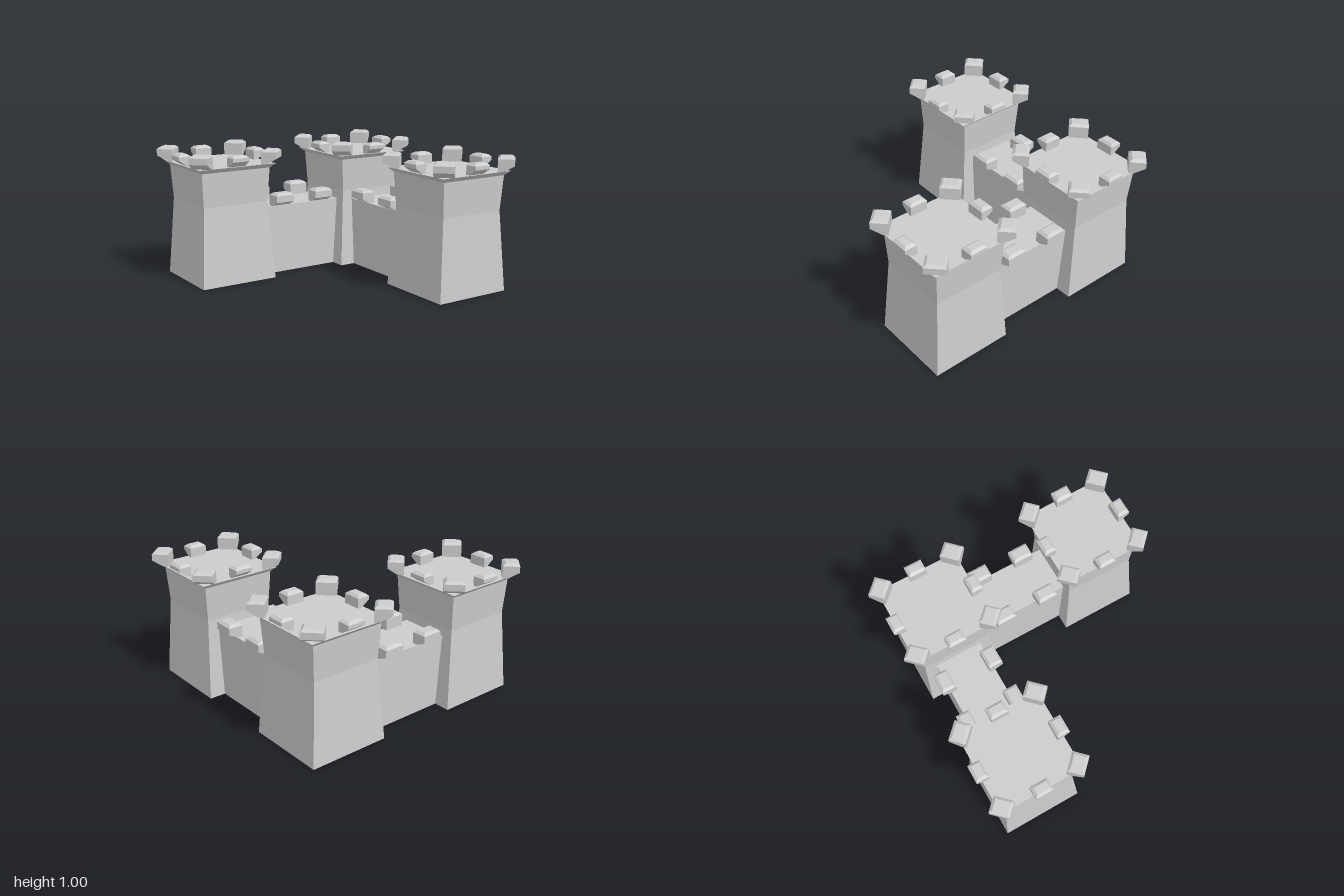
import * as THREE from 'three';

const stone = new THREE.MeshStandardMaterial({ color: 0xcccccc, flatShading: true });

// Solid stacked from rectangular rings: [y, halfWidth, zBack, zFront]
function stack(rings) {
  const n = rings.length - 1;
  const geo = new THREE.BoxGeometry(2, n, 1, 1, n, 1);
  const p = geo.attributes.position;
  for (let i = 0; i < p.count; i++) {
    const [y, hw, zb, zf] = rings[Math.round(p.getY(i) + n / 2)];
    p.setXYZ(i, p.getX(i) * hw, y, p.getZ(i) < 0 ? zb : zf);
  }
  const flat = geo.toNonIndexed();
  flat.computeVertexNormals();
  return flat;
}

// Merlon facing +z: bevelled top, underside cut away on the outer side
function merlonGeometry(w, h, d, lip) {
  const x = w / 2, z = d / 2, bevel = 0.02;
  return stack([
    [0, x, -z, z - d * 0.67],
    [lip, x, -z, z],
    [h - 0.017, x, -z, z],
    [h, x - bevel, -z + bevel, z - bevel],
  ]);
}

const towerGeo = stack([
  [0, 0.305], [0.6, 0.265], [0.857, 0.28], [0.89, 0.315],
].map(([y, r]) => [y, r, -r, r]));
const cornerGeo = merlonGeometry(0.145, 0.108, 0.12, 0.044);
const sideGeo = merlonGeometry(0.134, 0.086, 0.094, 0.042);
const wallMerlonGeo = merlonGeometry(0.155, 0.102, 0.11, 0.034);

function add(group, geo, name, x = 0, y = 0, z = 0, turn = 0) {
  const mesh = new THREE.Mesh(geo, stone);
  mesh.name = name;
  mesh.position.set(x, y, z);
  mesh.rotation.y = turn;
  group.add(mesh);
}

function makeTower(name) {
  const g = new THREE.Group();
  g.name = name;
  add(g, towerGeo, 'towerBody');
  // Eight merlons, alternating sides and corners
  for (let i = 0; i < 8; i++) {
    const a = i * Math.PI / 4, corner = i % 2 === 1;
    const r = corner ? 0.29 * Math.SQRT2 : 0.31;
    add(g, corner ? cornerGeo : sideGeo, corner ? 'cornerMerlon' : 'sideMerlon',
      Math.sin(a) * r, 0.89, Math.cos(a) * r, a);
  }
  return g;
}

// Wall running along x, with two merlons on each side
function makeWall(name) {
  const g = new THREE.Group();
  g.name = name;
  add(g, new THREE.BoxGeometry(1.22, 0.533, 0.365), 'wallBody', 0, 0.2665, 0);
  for (const x of [-0.177, 0.177])
    for (const s of [-1, 1])
      add(g, wallMerlonGeo, 'wallMerlon', x, 0.533, s * 0.192, s > 0 ? 0 : Math.PI);
  return g;
}

export function createModel() {
  const model = new THREE.Group();
  model.name = 'castle';
  const c = 0.612;
  for (const [name, x, z] of [
    ['backRightTower', -c, -c], ['backLeftTower', c, -c], ['frontLeftTower', c, c],
  ]) {
    const tower = makeTower(name);
    tower.position.set(x, 0, z);
    model.add(tower);
  }
  const backWall = makeWall('backWall');
  backWall.position.z = -c;
  const leftWall = makeWall('leftWall');
  leftWall.position.x = c;
  leftWall.rotation.y = Math.PI / 2;
  model.add(backWall, leftWall);
  return model;
}
